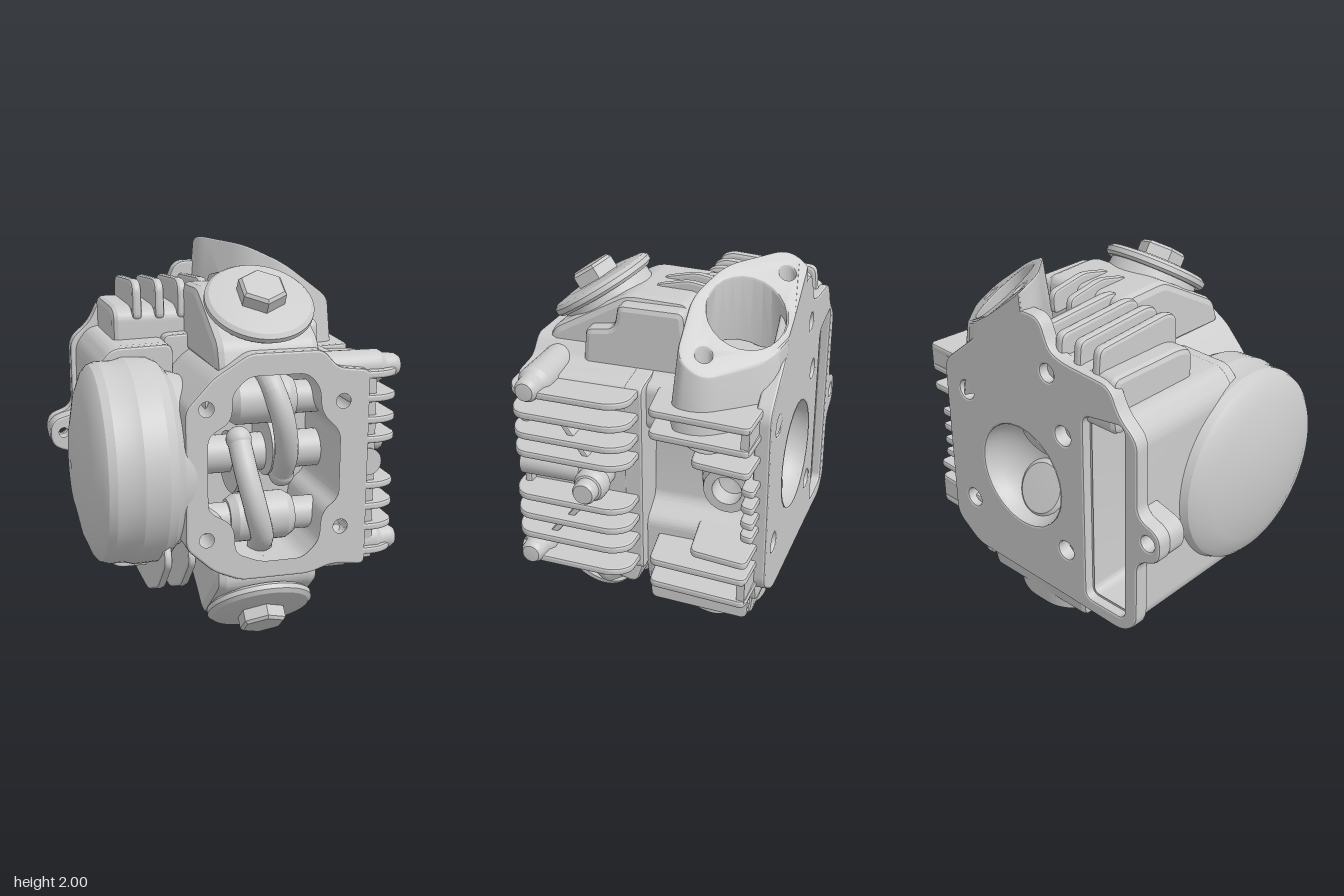
import * as THREE from 'three';
import { toCreasedNormals } from 'three/addons/utils/BufferGeometryUtils.js';

const V = (x, y, z) => new THREE.Vector3(x, y, z);
const UP = V(0, 1, 0);

export function createModel() {
  const model = new THREE.Group();
  const mat = new THREE.MeshStandardMaterial({ color: 0xcccccc, side: THREE.DoubleSide });

  const add = (name, geo, pos = [0, 0, 0], dir) => {
    const m = new THREE.Mesh(toCreasedNormals(geo, 0.33), mat);
    m.name = name;
    m.position.set(...pos);
    if (dir) m.quaternion.setFromUnitVectors(UP, dir.clone().normalize());
    model.add(m);
    return m;
  };

  // Closed outline with rounded corners
  const outline = (pts, r, Type = THREE.Shape) => {
    const s = new Type(), P = pts.map(p => new THREE.Vector2(...p)), n = P.length;
    P.forEach((p, i) => {
      const cut = q => {
        const d = q.clone().sub(p), l = d.length();
        return p.clone().addScaledVector(d, Math.min(r, l * 0.48) / l);
      };
      const a = cut(P[(i + n - 1) % n]), b = cut(P[(i + 1) % n]);
      if (i) s.lineTo(a.x, a.y); else s.moveTo(a.x, a.y);
      s.quadraticCurveTo(p.x, p.y, b.x, b.y);
    });
    s.closePath();
    return s;
  };
  const circle = (x, y, r) => new THREE.Path().absarc(x, y, r, 0, Math.PI * 2, true);
  const extrude = (pts, d, r, holes = [], b = 0.012) => {
    const s = outline(pts, r);
    s.holes.push(...holes);
    return new THREE.ExtrudeGeometry(s, {
      depth: d - 2 * b, bevelEnabled: b > 0, bevelThickness: b, bevelSize: b,
      bevelOffset: -b, bevelSegments: 2, curveSegments: 12,
    }).translate(0, 0, b);
  };
  // Outline in xy, in zy and in xz
  const alongZ = (name, pts, z0, z1, r, holes, b) => add(name, extrude(pts, z1 - z0, r, holes, b), [0, 0, z0]);
  const alongX = (name, pts, x0, x1, r = 0.03, b) =>
    add(name, extrude(pts, x1 - x0, r, [], b).rotateY(-Math.PI / 2), [x1, 0, 0]);
  const alongY = (name, pts, y0, y1, r = 0.03) =>
    add(name, extrude(pts, y1 - y0, r).rotateX(Math.PI / 2), [0, y1, 0]);
  const lathe = (name, pts, pos, dir, seg = 48) =>
    add(name, new THREE.LatheGeometry(pts.map(p => new THREE.Vector2(...p)), seg), pos, dir);
  const rod = (name, r0, r1, len, mid, dir, seg = 28) =>
    add(name, new THREE.CylinderGeometry(r1, r0, len, seg), mid, dir);

  const studs = [[-0.235, 1.3], [0.46, 1.3], [-0.235, 0.64], [0.46, 0.65]];
  const studHoles = () => studs.map(([x, y]) => circle(x, y, 0.05));
  const slot = () => outline([[-0.37, 0.42], [-0.63, 0.42], [-0.63, 1.5], [-0.37, 1.46]], 0.05, THREE.Path);
  const chamberHole = () => circle(0.07, 0.95, 0.28);

  // Front rocker housing
  const rim = [[-0.34, 0.6], [-0.34, 1.3], [-0.2, 1.45], [-0.02, 1.56], [0.35, 1.56], [0.43, 1.47],
    [0.6, 1.45], [0.6, 0.43], [0.42, 0.45], [0.3, 0.41], [-0.06, 0.41], [-0.2, 0.47]];
  const mouth = outline([[-0.24, 0.78], [-0.24, 1.17], [-0.12, 1.24], [-0.12, 1.37], [-0.03, 1.46],
    [0.28, 1.46], [0.35, 1.38], [0.36, 1.25], [0.46, 1.15], [0.46, 0.8], [0.37, 0.73], [0.36, 0.58],
    [0.27, 0.49], [0.04, 0.49], [-0.1, 0.55], [-0.11, 0.7]], 0.05, THREE.Path);
  alongZ('rockerHousing', rim, 0.03, 0.6, 0.04, [mouth, ...studHoles()]);
  alongZ('housingFloor', rim, -0.05, 0.05, 0.04);

  // Rear block and gasket plate, with combustion chamber and chain tunnel
  alongZ('rearBlock', [[-0.3, 0.3], [0.5, 0.3], [0.54, 0.45], [0.54, 0.7], [0.42, 0.78], [0.4, 1.16],
    [0.54, 1.22], [0.54, 1.44], [0.44, 1.46], [0.36, 1.58], [-0.3, 1.55]], -0.62, -0.04, 0.04, [chamberHole()]);
  alongZ('gasketPlate', [[0.45, 0.36], [0.62, 0.48], [0.62, 1.42], [0.3, 1.68], [0.12, 1.87], [-0.1, 1.87],
    [-0.16, 1.72], [-0.25, 1.69], [-0.54, 1.67], [-0.6, 1.54], [-0.71, 1.45], [-0.71, 1.06], [-0.85, 1.01],
    [-0.85, 0.86], [-0.71, 0.8], [-0.71, 0.42], [-0.62, 0.34], [-0.2, 0.35]], -0.69, -0.61, 0.06,
  [slot(), chamberHole(), ...studHoles(), circle(-0.775, 0.94, 0.04), circle(-0.14, 1.6, 0.045)]);
  alongZ('mountingLug', [[-0.6, 0.78], [-0.85, 0.86], [-0.85, 1.01], [-0.6, 1.08]], -0.62, -0.51, 0.07,
    [circle(-0.775, 0.94, 0.04)]);
  const tunnel = [[-0.28, 0.34], [-0.6, 0.34], [-0.68, 0.42], [-0.68, 1.42], [-0.6, 1.52], [-0.28, 1.53]];
  alongZ('chainTunnel', tunnel, -0.64, 0.05, 0.05, [slot()]);
  alongZ('chainTunnelEnd', tunnel, 0.03, 0.1, 0.05);
  const dome = [];
  for (let i = 0; i <= 10; i++) {
    const a = i / 10 * Math.PI / 2;
    dome.push([0.28 * Math.cos(a), 0.22 * Math.sin(a)]);
  }
  lathe('combustionChamber', dome, [0.07, 0.95, -0.69], V(0, 0, 1));
  for (const [y, r, s] of [[0.81, 0.155, -1], [1.1, 0.12, 1]])
    lathe('valve', [[r, -0.03], [r, 0], [r * 0.85, 0.02], [0, 0.025]], [0.07, y, -0.545], V(0, -0.45 * s, -0.9));

  // Round timing cover
  lathe('timingCover', [[0, 0.25], [0.43, 0.26], [0.455, 0.34], [0.5, 0.38], [0.525, 0.43], [0.53, 0.55], [0.515, 0.6],
    [0.515, 0.68], [0.5, 0.72], [0.47, 0.745], [0.38, 0.78], [0.22, 0.815], [0, 0.83]],
  [0, 0.95, 0.165], V(-1, 0, 0), 72);

  // Upper and lower valve towers with their screw caps
  alongX('upperTower', [[0.57, 1.45], [0.52, 1.6], [0.12, 1.82], [-0.2, 1.81], [-0.24, 1.45]], -0.17, 0.36, 0.05, 0.04);
  alongX('upperTowerStep', [[0.33, 1.42], [0.31, 1.65], [0.16, 1.67], [0.14, 1.79], [-0.2, 1.79], [-0.24, 1.42]], 0.3, 0.43, 0.04, 0.03);
  alongX('lowerTower', [[0.58, 0.48], [0.59, 0.37], [0.27, 0.09], [0.1, 0.2], [-0.06, 0.28], [-0.06, 0.48]], -0.18, 0.36, 0.05, 0.05);
  for (const [c, n] of [[V(0.1, 1.765, 0.35), V(0, 0.84, 0.55)], [V(0.09, 0.19, 0.43), V(0, -0.75, 0.66)]]) {
    n.normalize();
    const at = d => c.clone().addScaledVector(n, d).toArray();
    rod('capNeck', 0.25, 0.235, 0.16, at(-0.1), n, 40);
    lathe('valveCap', [[0, -0.035], [0.26, -0.035], [0.275, -0.02], [0.275, 0.005], [0.255, 0.022],
      [0.17, 0.035], [0, 0.037]], c.toArray(), n, 56);
    lathe('capNut', [[0.125, 0], [0.125, 0.095], [0.11, 0.11], [0, 0.11]], c.toArray(), n, 6);
  }

  // Port flanges: rounded diamond, sheared upright and widened toward the root
  const flange = (name, c, u, n, axis, len, half, mid, bore, bolt, flare) => {
    const pts = [[half, -0.08], [half, 0.08], [0.12, mid], [-0.12, mid], [-half, 0.08], [-half, -0.08],
      [-0.12, -mid], [0.12, -mid]];
    const g = extrude(pts, len, 0.08, [circle(0, 0, bore), circle(bolt, 0, 0.04), circle(-bolt, 0, 0.04)]);
    const p = g.attributes.position, w = n.clone().cross(u).normalize();
    for (let i = 0; i < p.count; i++) {
      const t = p.getZ(i) / len;
      const q = c.clone().addScaledVector(u, p.getX(i) * (1.08 - 0.08 * t))
        .addScaledVector(w, p.getY(i) * (1 + flare * (1 - t))).addScaledVector(axis, (t - 1) * len);
      p.setXYZ(i, q.x, q.y, Math.max(q.z, -0.69));
    }
    add(name, g);
  };
  flange('intakeFlange', V(0.36, 1.81, -0.485), V(0.82, -0.4, 0.4).normalize(), V(0.56, 0.74, -0.37).normalize(),
    UP, 0.36, 0.42, 0.235, 0.19, 0.31, 0.25);
  flange('exhaustFlange', V(0.09, 0.14, -0.34), V(1, 0, 0), V(0, -0.98, 0.2).normalize(),
    V(0, -1, 0), 0.26, 0.37, 0.24, 0.14, 0.28, 0.1);
  alongX('exhaustPort', [[-0.06, 0.5], [-0.07, 0.22], [-0.58, 0.16], [-0.62, 0.5]], -0.26, 0.45, 0.04, 0.03);

  // Upper cooling fins
  alongX('upperFinBlock', [[-0.12, 1.4], [-0.12, 1.66], [-0.2, 1.69], [-0.66, 1.69], [-0.66, 1.4]], -0.55, -0.14, 0.05, 0.03);
  alongX('upperSaddle', [[-0.15, 1.4], [-0.15, 1.68], [-0.64, 1.66], [-0.64, 1.4]], -0.2, 0.12, 0.04);
  for (const x of [-0.42, -0.3, -0.18, -0.06])
    alongX('upperFin', [[-0.11, 1.62], [-0.12, 1.8], [-0.18, 1.83], [-0.64, 1.8], [-0.66, 1.6]], x - 0.026, x + 0.026, 0.04, 0.018);
  for (const x of [0.04, 0.16])
    alongX('towerFin', [[0.06, 1.74], [0.04, 1.82], [-0.14, 1.86], [-0.36, 1.82], [-0.36, 1.7]], x - 0.02, x + 0.02, 0.04);

  // Lower cooling fins, wrapping under the timing cover
  for (const x of [-0.42, -0.3])
    alongX('lowerFin', [[0.52, 0.64], [0.58, 0.52], [0.38, 0.32], [0.12, 0.21], [-0.56, 0.21], [-0.58, 0.38],
      [0.12, 0.38], [0.3, 0.6]], x - 0.022, x + 0.022, 0.06, 0.016);
  alongX('lowerSideFin', [[-0.06, 0.5], [-0.06, 0.22], [-0.58, 0.2], [-0.6, 0.5]], 0.48, 0.53, 0.04);
  alongX('lowerSkirt', [[0.58, 0.5], [0.55, 0.41], [0.02, 0.28], [-0.05, 0.5]], 0.3, 0.53, 0.05, 0.02);

  // Side cooling fins, front group and rear group
  for (const y of [1.42, 1.3, 1.19, 1.09, 0.85, 0.74, 0.63, 0.5])
    alongY('sideFin', [[0.5, 0.6], [0.68, 0.6], [0.77, 0.54], [0.78, 0.05], [0.72, -0.03], [0.5, -0.03]], y - 0.02, y + 0.02, 0.05);
  for (const [y, z] of [[1.42, -0.13], [1.305, -0.13], [1.19, -0.34], [0.705, -0.34], [0.61, -0.13], [0.485, -0.13]])
    alongY('rearSideFin', [[0.4, z + 0.04], [0.77, z - 0.01], [0.805, -0.64], [0.4, -0.65]], y - 0.02, y + 0.02, 0.04);
  for (const y of [1.3625, 0.5475])
    add('finBridge', new THREE.BoxGeometry(0.22, 0.12, 0.04), [0.68, y, -0.615]);
  for (const y of [1.06, 0.97, 0.885, 0.81])
    alongY('plateFin', [[0.5, -0.57], [0.72, -0.58], [0.74, -0.65], [0.5, -0.65]], y - 0.02, y + 0.02, 0.03);
  alongX('housingSideRib', [[0.57, 0.45], [0.57, 1.44], [0.53, 1.44], [0.53, 0.45]], 0.56, 0.65, 0.02);
  for (const rib of [[[0.35, 1.29], [0.33, 1.31], [0.15, 1.06], [0.17, 1.04]], [[0.2, 0.84], [0.22, 0.86], [0.42, 0.63], [0.4, 0.61]]])
    alongX('diagonalRib', rib, 0.56, 0.72, 0.01, 0.006);

  // Side bolts
  for (const [y, z] of [[1.44, 0.47], [0.53, 0.49]])
    lathe('sideBolt', [[0.085, 0.38], [0.085, 0.68], [0.066, 0.71], [0.06, 0.77], [0.045, 0.795], [0, 0.8]],
      [0, y, z], V(1, 0, 0), 28);
  lathe('plugBolt', [[0.07, 0.5], [0.07, 0.68], [0.085, 0.7], [0.085, 0.75], [0.07, 0.78], [0.06, 0.785],
    [0.06, 0.83], [0.05, 0.845], [0, 0.845]], [0, 0.97, 0.165], V(1, 0, 0), 28);
  rod('shaftBoss', 0.07, 0.07, 0.32, [0.61, 0.97, 0.42], V(0, 0, 1));

  // Spark plug seat
  lathe('sparkPlugSeat', [[0.18, 0.34], [0.13, 0.47], [0.12, 0.5], [0.075, 0.5], [0.07, 0.4], [0, 0.38]],
    [0.03, 0.94, -0.46], V(1, 0, 0), 36);

  // Camshaft and rockers inside the housing
  rod('camshaft', 0.1, 0.1, 0.74, [0.1, 0.96, 0.2], V(1, 0, 0));
  for (const [x, s] of [[0.02, -1], [0.2, 1]]) {
    add('camLobe', new THREE.CylinderGeometry(0.16, 0.16, 0.08, 32).scale(1, 1, 1.2).rotateZ(Math.PI / 2), [x, 0.96 + 0.04 * s, 0.22]);
    rod('rockerShaft', 0.085, 0.085, 0.6, [0.1, 0.97 + 0.31 * s, 0.36], V(1, 0, 0));
    lathe('rockerHub', [[0, -0.17], [0.1, -0.17], [0.125, -0.13], [0.125, 0.13], [0.1, 0.17], [0, 0.17]],
      [0.1, 0.97 + 0.31 * s, 0.36], V(1, 0, 0), 32);
    const path = new THREE.CatmullRomCurve3([[-0.07, 0.46, 0.36], [-0.05, 0.38, 0.46], [-0.01, 0.24, 0.5],
      [0.03, 0.05, 0.45], [0.04, -0.1, 0.34]].map(([a, b, z]) => V(0.1 + (s > 0 ? 0.09 : -0.06) + a * s, 0.97 + b * s, z)));
    add('rockerArm', new THREE.TubeGeometry(path, 28, 0.06, 20));
    for (const t of [0, 1])
      add('rockerPad', new THREE.SphereGeometry(0.066, 24, 16), path.getPoint(t).toArray());
  }

  return model;
}
